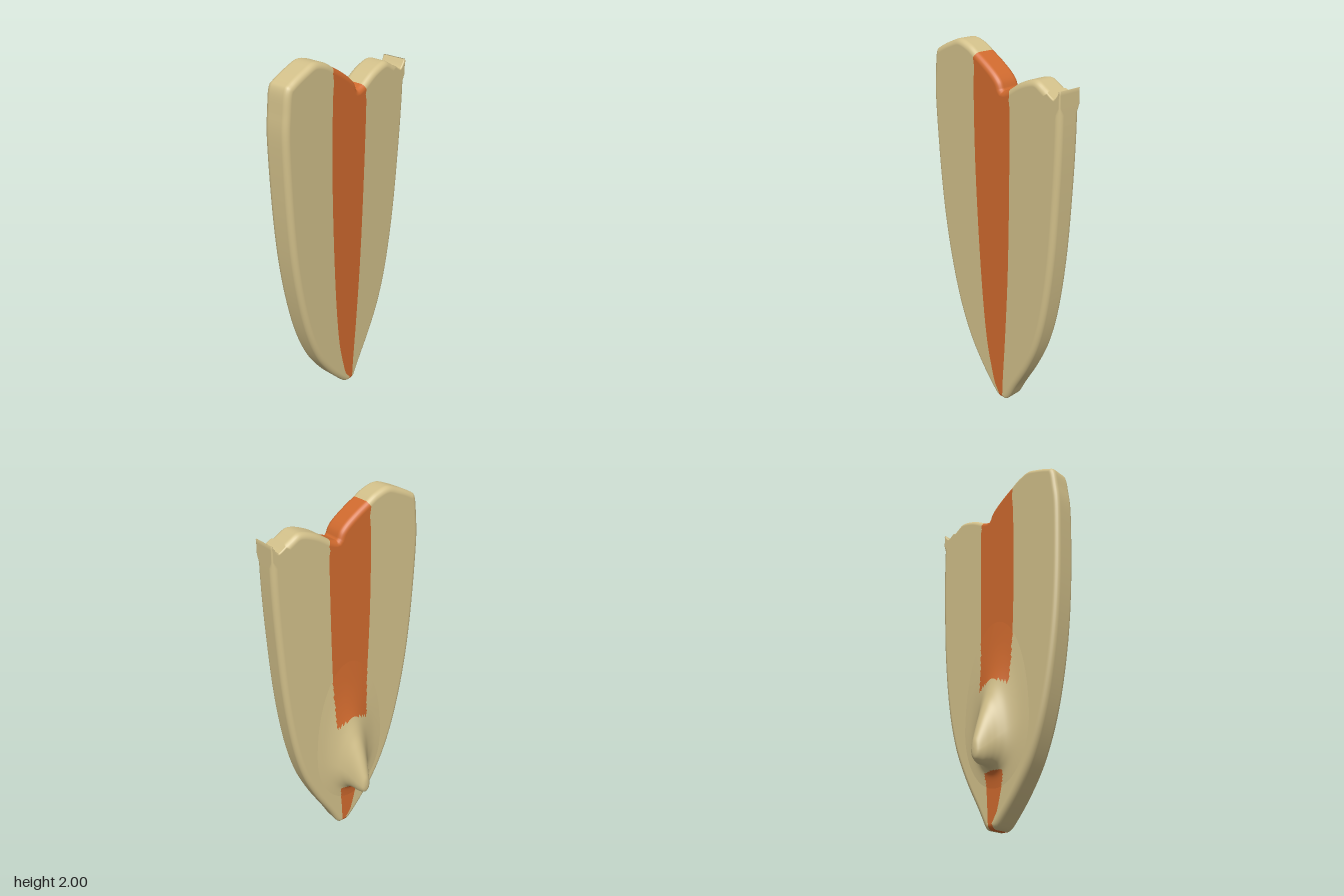
import * as THREE from 'three';
import { mergeGeometries } from 'three/addons/utils/BufferGeometryUtils.js';

const FRONT = 0.146, BACK = 0.01, ROUND = 0.03;

const tan = new THREE.MeshStandardMaterial({ color: 0xd2c08a });
const orange = new THREE.MeshStandardMaterial({ color: 0xd06a2e });

const vecs = (pairs) => pairs.map(([x, y]) => new THREE.Vector2(x, y));
const spline = (pairs, n) => new THREE.SplineCurve(vecs(pairs)).getPoints(n);

// Seams between the stripe and the side panels, bottom to top
const seamLeft = spline([[0, 0.08], [-0.02, 0.15], [-0.06, 0.33], [-0.09, 0.6], [-0.114, 0.97],
  [-0.13, 1.39], [-0.13, 1.76], [-0.122, 1.88]], 50);
const seamRight = spline([[0.063, 0.08], [0.066, 0.15], [0.087, 0.44], [0.108, 0.81], [0.12, 1.23],
  [0.125, 1.68], [0.118, 1.76]], 50);

// Outline runs, counter-clockwise
const rightRun = [
  ...spline([[0.06, 0], [0.087, 0.012], [0.14, 0.11], [0.235, 0.28], [0.315, 0.466], [0.373, 0.7],
    [0.415, 1.02], [0.438, 1.39], [0.446, 1.65], [0.444, 1.86]], 60),
  ...spline([[0.438, 1.857], [0.412, 1.822], [0.395, 1.822], [0.34, 1.857], [0.28, 1.883],
    [0.19, 1.857], [0.11, 1.81]], 40),
];
const topRun = [
  ...spline([[0.11, 1.81], [0.085, 1.8], [0.066, 1.795]], 6),
  ...spline([[0.06, 1.802], [0.045, 1.835], [0.01, 1.87], [-0.05, 1.912], [-0.114, 1.95]], 20),
];
const leftRun = spline([[-0.114, 1.95], [-0.165, 1.98], [-0.24, 2], [-0.31, 1.98], [-0.39, 1.945],
  [-0.425, 1.915], [-0.44, 1.82], [-0.45, 1.65], [-0.43, 1.23], [-0.39, 0.89], [-0.32, 0.57],
  [-0.23, 0.33], [-0.125, 0.16], [-0.01, 0.025], [0.03, 0]], 110);
const bottomRun = vecs([[0.03, 0], [0.045, 0], [0.06, 0]]);

// Give every outline point its outward normal and edge radius
function prepareOutline(runs) {
  const loop = runs.flatMap((run) => run.slice(0, -1));
  const points = loop.map((p, i) => {
    const before = loop.at(i - 1), after = loop[(i + 1) % loop.length];
    const normal = new THREE.Vector2(after.y - before.y, before.x - after.x).normalize();
    const nearSplinter = p.x > 0.36 && p.y > 1.78;
    return { p, normal, radius: nearSplinter ? 0.008 : ROUND };
  });
  let start = 0;
  return runs.map((run) => {
    const part = run.map((_, i) => points[(start + i) % points.length]);
    start += run.length - 1;
    return part;
  });
}

const inset = (run) => run.map(({ p, normal, radius }) => p.clone().addScaledVector(normal, -radius));

// Index a grid of quads whose outside lies right of the rows' direction
function gridIndex(rows, cols, visit) {
  for (let i = 0; i < rows; i++) {
    for (let k = 0; k < cols; k++) visit(i, k);
  }
}

// Rounded rim swept along one run of the outline
function rim(run) {
  const steps = 6, position = [], normal = [], index = [], cols = 2 * (steps + 1);
  run.forEach(({ p, normal: n, radius }) => {
    for (let k = 0; k < cols; k++) {
      const front = k <= steps;
      const angle = (front ? 1 - k / steps : -(k - steps - 1) / steps) * Math.PI / 2;
      const c = Math.cos(angle), s = Math.sin(angle);
      const d = -radius * (1 - c);
      const z = (front ? FRONT - radius : BACK + radius) + radius * s;
      position.push(p.x + n.x * d, p.y + n.y * d, z);
      normal.push(n.x * c, n.y * c, s);
    }
  });
  gridIndex(run.length - 1, cols - 1, (i, k) => {
    const a = i * cols + k, b = a + cols;
    index.push(a, a + 1, b, b, a + 1, b + 1);
  });
  const g = new THREE.BufferGeometry();
  g.setAttribute('position', new THREE.Float32BufferAttribute(position, 3));
  g.setAttribute('normal', new THREE.Float32BufferAttribute(normal, 3));
  return g.setIndex(index);
}

// Flat front and back faces of a panel
function faces(points) {
  const front = new THREE.ShapeGeometry(new THREE.Shape(points)).translate(0, 0, FRONT);
  const mirrored = points.map((p) => new THREE.Vector2(-p.x, p.y));
  const back = new THREE.ShapeGeometry(new THREE.Shape(mirrored)).rotateY(Math.PI).translate(0, 0, BACK);
  return [front, back].map((g) => g.deleteAttribute('uv'));
}

function addMesh(group, name, geometry, material) {
  const mesh = new THREE.Mesh(geometry, material);
  mesh.name = name;
  group.add(mesh);
}

// x of a seam at a given height
function seamX(seam, y) {
  const i = Math.max(1, seam.findIndex((p) => p.y >= y));
  const a = seam[i - 1], b = seam[i];
  return THREE.MathUtils.lerp(a.x, b.x, (y - a.y) / (b.y - a.y));
}

// Fin with a flared foot, lofted from the board outwards
function addFin(group) {
  const heights = new THREE.SplineCurve(vecs([[0.18, 1.15], [0.25, 0.95], [0.28, 0.79], [0.293, 0.68],
    [0.295, 0.6], [0.297, 0.52], [0.312, 0.44], [0.335, 0.405], [0.37, 0.37]]));
  const widths = new THREE.SplineCurve(vecs([[0.24, 0.012], [0.165, 0.001], [0.112, -0.02], [0.08, -0.05],
    [0.06, -0.08], [0.044, -0.11], [0.028, -0.137], [0.015, -0.147], [0, -0.15]]));
  const rings = 48, sides = 240, position = [], plain = [], striped = [];
  for (let i = 0; i <= rings; i++) {
    const { x: low, y: high } = heights.getPoint(i / rings);
    const { x: width, y: z } = widths.getPoint(i / rings);
    const mid = low + 0.38 * (high - low);
    for (let k = 0; k < sides; k++) {
      const a = (k / sides) * Math.PI * 2, s = Math.sin(a);
      position.push(0.005 + width * Math.cos(a), mid + s * (s > 0 ? high - mid : mid - low), z);
    }
  }
  gridIndex(rings, sides, (i, k) => {
    const a = i * sides + k, b = i * sides + (k + 1) % sides, c = b + sides, d = a + sides;
    const x = (position[3 * a] + position[3 * c]) / 2;
    const y = (position[3 * a + 1] + position[3 * c + 1]) / 2;
    const inStripe = x > seamX(seamLeft, y) && x < seamX(seamRight, y);
    const beyondFin = y > 0.76 - 4 * x * x || y < 0.28;
    (inStripe && beyondFin ? striped : plain).push(a, d, b, b, d, c);
  });
  const whole = new THREE.BufferGeometry();
  whole.setAttribute('position', new THREE.Float32BufferAttribute(position, 3));
  whole.setIndex([...plain, ...striped]);
  whole.computeVertexNormals();
  addMesh(group, 'fin', whole.clone().setIndex(plain), tan);
  addMesh(group, 'finFootStripe', whole.clone().setIndex(striped), orange);
}

export function createModel() {
  const group = new THREE.Group();
  group.name = 'brokenSurfboard';
  const [right, top, left, bottom] = prepareOutline([rightRun, topRun, leftRun, bottomRun]);
  const down = (seam) => [...seam].reverse();

  // Board panels, each a piece of rim with its two faces
  addMesh(group, 'leftPanel', mergeGeometries([
    rim(right), ...faces([...inset(right), ...down(seamRight)])]), tan);
  addMesh(group, 'rightPanel', mergeGeometries([
    rim(left), ...faces([...inset(left), ...seamLeft])]), tan);
  addMesh(group, 'centreStripe', mergeGeometries([
    rim(top), rim(bottom),
    ...faces([...inset(bottom), ...seamRight, ...inset(top), ...down(seamLeft)])]), orange);

  addFin(group);
  return group;
}
